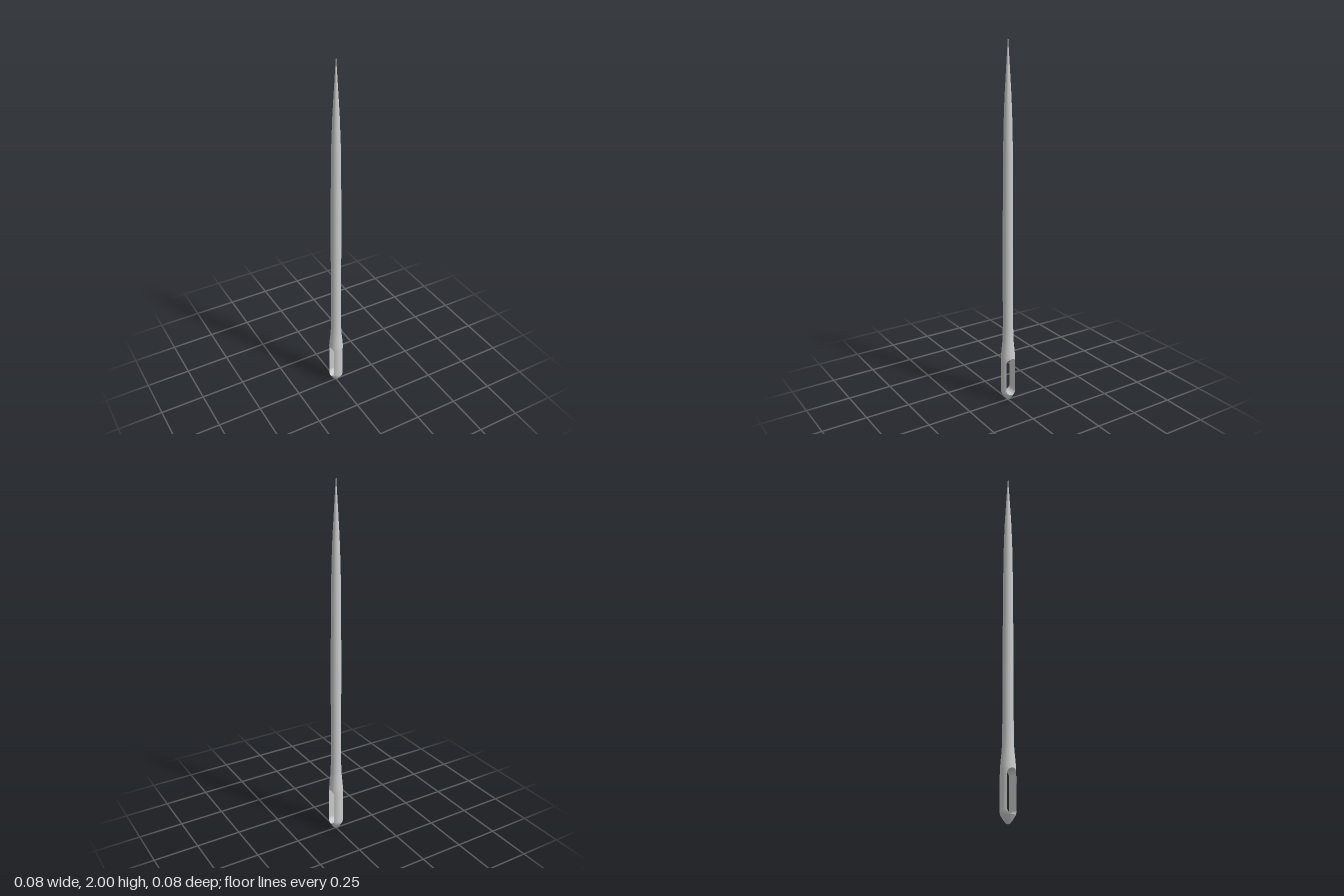
import * as THREE from 'three';

const SIDES = 16;
const EYE = { bottom: 0.043, top: 0.266, half: 0.028 };

// body radius by height: [y, radius]
const PROFILE = [
  [0, 0], [0.005, 0.011], [0.02, 0.023], [0.043, 0.037], [0.055, 0.0405],
  [0.266, 0.04], [0.3, 0.0375], [0.35, 0.0325], [0.39, 0.03], [0.46, 0.029], [0.6, 0.029],
  [1.1, 0.028], [1.35, 0.0265], [1.55, 0.0235], [1.7, 0.018], [1.82, 0.011], [1.92, 0.005], [2, 0],
];

function radiusAt(y) {
  const i = Math.max(1, PROFILE.findIndex(p => p[0] >= y));
  const [y0, r0] = PROFILE[i - 1], [y1, r1] = PROFILE[i];
  return THREE.MathUtils.mapLinear(y, y0, y1, r0, r1);
}

// surface from rows of points, running upwards
function skin(rows) {
  const n = rows[0].length, index = [];
  for (let i = 0; i < rows.length - 1; i++) {
    for (let j = 0; j < n - 1; j++) {
      const a = i * n + j, b = a + 1, d = a + n, c = d + 1;
      index.push(a, b, c, a, c, d);
    }
  }
  const g = new THREE.BufferGeometry().setFromPoints(rows.flat());
  g.setIndex(index);
  g.computeVertexNormals();
  return g;
}

export function createModel() {
  const needle = new THREE.Group();
  needle.name = 'needle';
  const steel = new THREE.MeshStandardMaterial({ color: 0xcccccc });
  const add = (geometry, name, parent = needle) => {
    const mesh = new THREE.Mesh(geometry, steel);
    mesh.name = name;
    parent.add(mesh);
  };
  const turned = list => new THREE.LatheGeometry(list.map(([y, r]) => new THREE.Vector2(r, y)), SIDES);

  // solid round parts below and above the eye
  add(turned(PROFILE.filter(p => p[0] <= EYE.bottom)), 'buttEnd');
  add(turned(PROFILE.filter(p => p[0] >= EYE.top)), 'shaft');

  // slot outline: half width by height, rounded at both ends
  const lower = [];
  for (let k = 0; k <= 8; k++) {
    const t = (k / 8) * Math.PI / 2;
    lower.push([EYE.bottom + EYE.half * (1 - Math.cos(t)), EYE.half * Math.sin(t)]);
  }
  const upper = lower.map(([y, h]) => [EYE.bottom + EYE.top - y, h]).reverse();

  // each cheek is the round body cut off by the slot
  const outer = [], inner = [];
  for (const [y, h] of [...lower, ...upper]) {
    const r = radiusAt(y), a = Math.acos(h / r), arc = [], wall = [];
    for (let j = 0; j <= SIDES / 2; j++) {
      const phi = a * (j / (SIDES / 4) - 1);
      arc.push(new THREE.Vector3(r * Math.sin(phi), y, r * Math.cos(phi)));
    }
    for (const s of [1, -1]) wall.push(new THREE.Vector3(s * r * Math.sin(a), y, h));
    outer.push(arc);
    inner.push(wall);
  }
  const outerSkin = skin(outer), innerSkin = skin(inner);
  for (const [name, turn] of [['frontCheek', 0], ['backCheek', Math.PI]]) {
    const cheek = new THREE.Group();
    cheek.name = name;
    cheek.rotation.y = turn;
    add(outerSkin, name + 'Outside', cheek);
    add(innerSkin, name + 'EyeWall', cheek);
    needle.add(cheek);
  }
  return needle;
}
